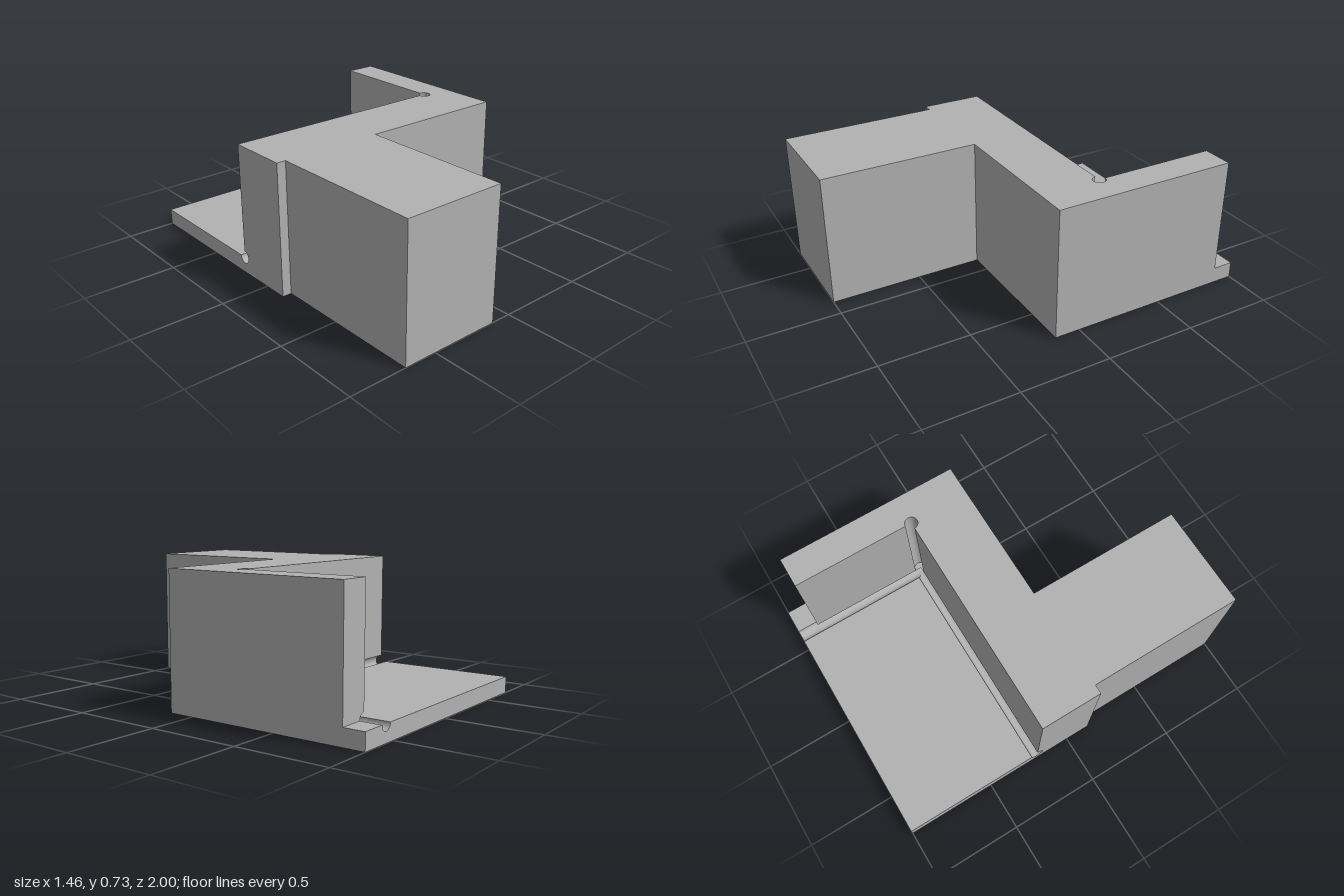
import * as THREE from 'three';
import { toCreasedNormals } from 'three/addons/utils/BufferGeometryUtils.js';

const W = 0.732;           // half width
const H = 0.727;           // wall height
const FLOOR = 0.09;        // floor thickness
const R = 0.035;           // groove radius
const LOW = FLOOR + R;     // top of the grooved lower layer
const CX = 0.56, CZ = -0.2; // inner corner
const BACK = -0.885;       // back end of the side wall
const MITRE = CX - CZ;     // the grooves meet on the plane x = z + MITRE
const SEAM = W - MITRE;    // z where that plane leaves the side wall

// Points of a clockwise arc, angles in quarter turns
function arc(cx, cy, from, to, n = 24) {
  return Array.from({ length: n + 1 }, (_, i) => {
    const a = (from + (to - from) * i / n) * Math.PI / 2;
    return [cx + R * Math.cos(a), cy + R * Math.sin(a)];
  });
}

// Extrudes a profile from a flat start to an end that may be slanted
function prism(points, start, end) {
  const shape = new THREE.Shape(points.map(([x, y]) => new THREE.Vector2(x, y)));
  const g = new THREE.ExtrudeGeometry(shape, { depth: 1, bevelEnabled: false });
  const p = g.attributes.position;
  for (let i = 0; i < p.count; i++) {
    p.setZ(i, start + p.getZ(i) * (end(p.getX(i)) - start));
  }
  return g;
}

export function createModel() {
  const group = new THREE.Group();
  const grey = new THREE.MeshStandardMaterial({ color: 0xb2b2b2 });
  grey.name = 'grey';

  const add = (name, geometry) => {
    const mesh = new THREE.Mesh(toCreasedNormals(geometry, 0.5), grey);
    mesh.name = name;
    group.add(mesh);
  };
  const box = (name, x0, x1, y0, y1, z0, z1) => add(name,
    new THREE.BoxGeometry(x1 - x0, y1 - y0, z1 - z0)
      .translate((x0 + x1) / 2, (y0 + y1) / 2, (z0 + z1) / 2));

  // Front arm and the solid foot of the long wall
  box('frontArm', -0.682, -0.114, 0, H, 0.14, 1);
  box('longWallFoot', -W, W, 0, LOW, SEAM, 0.14);

  // Floor with the groove under the long wall, run along x
  add('floorAndLongGroove', prism([
    [-SEAM, 0], [1, 0], [1, FLOOR],
    ...arc(-CZ, FLOOR, 0, -3), [-SEAM, LOW],
  ], -W, (u) => MITRE - u).rotateY(Math.PI / 2));

  // Floor with the groove under the side wall, run along z
  const inner = BACK + MITRE;
  add('sideWallFootAndGroove', prism([
    [inner, 0], [W, 0], [W, LOW],
    ...arc(CX, FLOOR, 1, -2), [inner, FLOOR],
  ], BACK, (x) => x - MITRE));

  // Ledge behind the side wall with the open end of the groove
  add('backLedge', prism([
    [MITRE - 1, 0], [inner, 0], [W, 0], [W, FLOOR],
    ...arc(CX, FLOOR, 0, -2), [inner, FLOOR], [MITRE - 1, FLOOR],
  ], -1, (x) => Math.min(BACK, x - MITRE)));

  // Upper walls with the upright groove in the inner corner
  add('upperWalls', prism([
    [-W, 0.14], [-W, CZ],
    ...arc(CX, CZ, 2, -1),
    [CX, BACK], [W, BACK], [W, 0.14],
  ], 0, () => H - LOW).rotateX(Math.PI / 2).translate(0, H, 0));

  return group;
}
